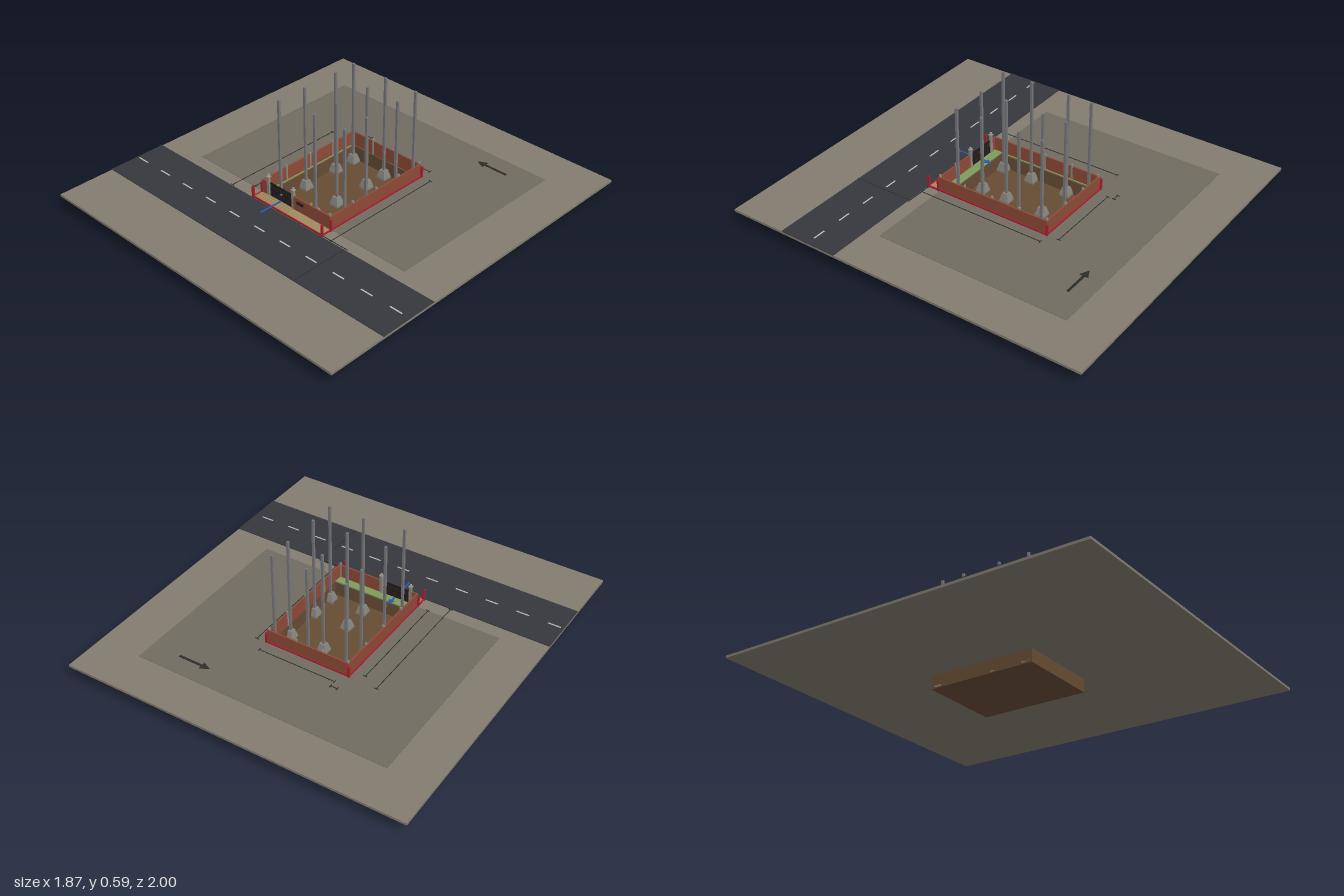
import * as THREE from 'three';

const mats = {};
const mat = (c) => (mats[c] ??= new THREE.MeshStandardMaterial({ color: c }));

export function createModel() {
  const root = new THREE.Group();

  const group = (name) => {
    const g = new THREE.Group();
    g.name = name;
    root.add(g);
    return g;
  };
  // box given by its limits on each axis
  const box = (parent, name, color, [x0, x1], [y0, y1], [z0, z1]) => {
    const m = new THREE.Mesh(new THREE.BoxGeometry(x1 - x0, y1 - y0, z1 - z0), mat(color));
    m.position.set((x0 + x1) / 2, (y0 + y1) / 2, (z0 + z1) / 2);
    m.name = name;
    parent.add(m);
    return m;
  };
  const around = (c, w) => [c - w / 2, c + w / 2];
  const rectPath = (path, x0, x1, z0, z1) =>
    path.moveTo(x0, -z1).lineTo(x1, -z1).lineTo(x1, -z0).lineTo(x0, -z0).closePath();
  // flat plate with the excavation cut out
  const pit = { x0: -0.22, x1: 0.229, z0: -0.343, z1: 0.24 };
  const plate = (name, color, x0, x1, z0, z1, y0, y1) => {
    const shape = rectPath(new THREE.Shape(), x0, x1, z0, z1);
    shape.holes.push(rectPath(new THREE.Path(), pit.x0, pit.x1, pit.z0, pit.z1));
    const geo = new THREE.ExtrudeGeometry(shape, { depth: y1 - y0, bevelEnabled: false });
    geo.rotateX(-Math.PI / 2).translate(0, y0, 0);
    const m = new THREE.Mesh(geo, mat(color));
    m.name = name;
    root.add(m);
  };

  // ground and neighbouring plots
  plate('ground', 0x827c70, -0.935, 0.935, -1, 1, 0.07, 0.083);
  plate('surroundingPlots', 0x706c60, -0.7, 0.695, -0.77, 0.285, 0.083, 0.085);

  // road with dashed centre line
  const road = group('road');
  box(road, 'roadSurface', 0x35373d, [-0.935, 0.935], [0.083, 0.087], [0.36, 0.685]);
  for (let i = 0; i < 11; i++)
    box(road, 'laneDash', 0xb8b8b0, around(-0.885 + i * 0.174, 0.07), [0.087, 0.088], around(0.52, 0.008));

  // excavation: floor and four thin sides
  const soil = 0x664c33, t = 0.004;
  const dig = group('excavation');
  box(dig, 'pitFloor', soil, [pit.x0, pit.x1], [0, 0.006], [pit.z0, pit.z1]);
  for (const x of [pit.x0, pit.x1 - t]) box(dig, 'pitSide', soil, [x, x + t], [0.006, 0.083], [pit.z0, pit.z1]);
  for (const z of [pit.z0, pit.z1 - t]) box(dig, 'pitEnd', soil, [pit.x0, pit.x1], [0.006, 0.083], [z, z + t]);

  // sloped footings and tall columns
  const foundation = group('foundation');
  const footingGeo = new THREE.CylinderGeometry(0.03 / Math.SQRT2, 0.052 / Math.SQRT2, 0.04, 4, 1)
    .toNonIndexed().rotateY(Math.PI / 4);
  footingGeo.computeVertexNormals();
  for (const x of [-0.194, 0.022, 0.218]) {
    for (const z of [-0.31, -0.18, 0.034, x < -0.1 ? 0.207 : 0.181]) {
      box(foundation, 'footingPad', 0x85827d, around(x, 0.052), [0.006, 0.015], around(z, 0.052));
      const footing = new THREE.Mesh(footingGeo, mat(0x85827d));
      footing.position.set(x, 0.035, z);
      footing.name = 'footing';
      foundation.add(footing);
      box(foundation, 'column', 0x77777a, around(x, 0.012), [0.055, 0.587], around(z, 0.012));
    }
  }

  // brick compound wall
  const brick = 0x8e4a38, wallY = [0.083, 0.162];
  const wall = group('compoundWall');
  for (const s of [-1, 1])
    box(wall, 'sideWall', brick, around(s * 0.23, 0.008), wallY, [-0.352, 0.295]);
  box(wall, 'backWall', brick, [-0.234, 0.234], wallY, [-0.352, -0.344]);
  box(wall, 'frontWall', brick, [-0.02, 0.234], wallY, [0.286, 0.294]);
  box(wall, 'frontWallStub', brick, [-0.234, -0.19], wallY, [0.286, 0.294]);
  box(wall, 'namePlate', 0x222222, around(0.03, 0.045), [0.13, 0.146], [0.294, 0.297]);
  const post = (x, z) => box(wall, 'wallPost', 0x8c8880, around(x, 0.01), [0.083, 0.174], around(z, 0.01));
  for (const x of [-0.227, -0.085, 0.067, 0.225]) post(x, -0.346);
  for (const z of [-0.19, -0.03, 0.135]) [-0.228, 0.228].forEach((x) => post(x, z));
  post(0.1, 0.288);
  post(0.225, 0.288);

  // gate: two leaves of bars between pillars
  const gate = group('gate');
  for (const x of [-0.194, -0.022]) {
    box(gate, 'gatePillar', 0x8c8880, around(x, 0.014), [0.083, 0.192], around(0.288, 0.014));
    box(gate, 'pillarCap', 0x9a968e, around(x, 0.019), [0.19, 0.195], around(0.288, 0.019));
    box(gate, 'pillarLamp', 0xa8a49a, around(x, 0.008), [0.195, 0.206], around(0.288, 0.008));
  }
  for (const x of [-0.145, -0.071]) {
    box(gate, 'gateLeaf', 0x2e2522, around(x, 0.072), [0.09, 0.162], around(0.288, 0.004));
    for (const y of [0.094, 0.126, 0.16]) box(gate, 'gateRail', 0x1c1817, around(x, 0.072), around(y, 0.005), around(0.288, 0.007));
    for (let i = -3; i <= 3; i++)
      box(gate, 'gateBar', 0x1c1817, around(x + i * 0.011, 0.003), [0.09, 0.164], around(0.288, 0.007));
  }
  box(gate, 'gateLatch', 0x8a8a8a, around(-0.1, 0.01), [0.128, 0.134], [0.29, 0.295]);

  // lawn strips and paved entrance apron with joints
  const yard = group('yard');
  box(yard, 'frontLawn', 0x7f9c5c, [-0.226, 0.226], [0.083, 0.088], [0.24, 0.286]);
  box(yard, 'sideLawn', 0x7f9c5c, [-0.226, -0.22], [0.083, 0.088], [-0.344, 0.24]);
  box(yard, 'entranceApron', 0xa08a5e, [-0.235, 0.235], [0.083, 0.089], [0.294, 0.352]);
  for (let i = 0; i < 14; i++)
    box(yard, 'apronJoint', 0x84704a, around(-0.225 + i * 0.016, 0.002), [0.089, 0.09], [0.296, 0.35]);

  // red plot boundary with marker posts
  const red = 0xa81f2b;
  const boundary = group('plotBoundary');
  for (const x of [-0.237, 0.237]) {
    box(boundary, 'boundarySide', red, around(x, 0.005), [0.084, 0.093], [-0.357, 0.355]);
    for (const z of [-0.355, 0.293, 0.353])
      box(boundary, 'boundaryPost', red, around(x, 0.011), [0.083, 0.147], around(z, 0.011));
  }
  for (const z of [-0.355, 0.353])
    box(boundary, 'boundaryEnd', red, [-0.237, 0.237], [0.084, 0.093], around(z, 0.005));

  // dimension lines with end ticks
  const dims = group('dimensionLines');
  const ink = 0x2c2b29, inkY = [0.085, 0.0875];
  const lineZ = (x, z0, z1) => {
    box(dims, 'dimensionLine', ink, around(x, 0.003), inkY, [z0, z1]);
    for (const z of [z0, z1]) box(dims, 'dimensionTick', ink, around(x, 0.022), inkY, around(z, 0.003));
  };
  const lineX = (z, x0, x1) => {
    box(dims, 'dimensionLine', ink, [x0, x1], inkY, around(z, 0.003));
    for (const x of [x0, x1]) box(dims, 'dimensionTick', ink, around(x, 0.003), inkY, around(z, 0.022));
  };
  lineZ(-0.39, -0.357, 0.353);
  lineZ(-0.3, -0.31, 0.285);
  lineZ(0.295, -0.357, 0.353);
  lineX(-0.42, -0.2, 0.235);
  lineX(-0.455, -0.237, -0.2);
  box(dims, 'extensionLine', ink, [0.24, 0.4], [0.085, 0.0885], around(0.352, 0.002));
  box(dims, 'roadWidthLine', ink, around(0.388, 0.003), [0.087, 0.0885], [0.36, 0.69]);

  // flat arrows: north pointer and entrance pointer
  const arrow = (name, color, length, width, head, x, y, z, angle) => {
    const w = width / 2, h = head / 2, n = length - head;
    const shape = new THREE.Shape([[0, -w], [n, -w], [n, -h], [length, 0], [n, h], [n, w], [0, w]]
      .map(([a, b]) => new THREE.Vector2(a, b)));
    const geo = new THREE.ExtrudeGeometry(shape, { depth: 0.003, bevelEnabled: false });
    const m = new THREE.Mesh(geo.rotateX(-Math.PI / 2), mat(color));
    m.position.set(x, y, z);
    m.rotation.y = angle;
    m.name = name;
    root.add(m);
  };
  arrow('northArrow', 0x2c2b29, 0.18, 0.012, 0.046, 0.53, 0.085, -0.665, Math.PI);
  arrow('entranceArrow', 0x2457b5, 0.21, 0.009, 0.034, -0.105, 0.09, 0.43, Math.PI / 2);

  return root;
}
